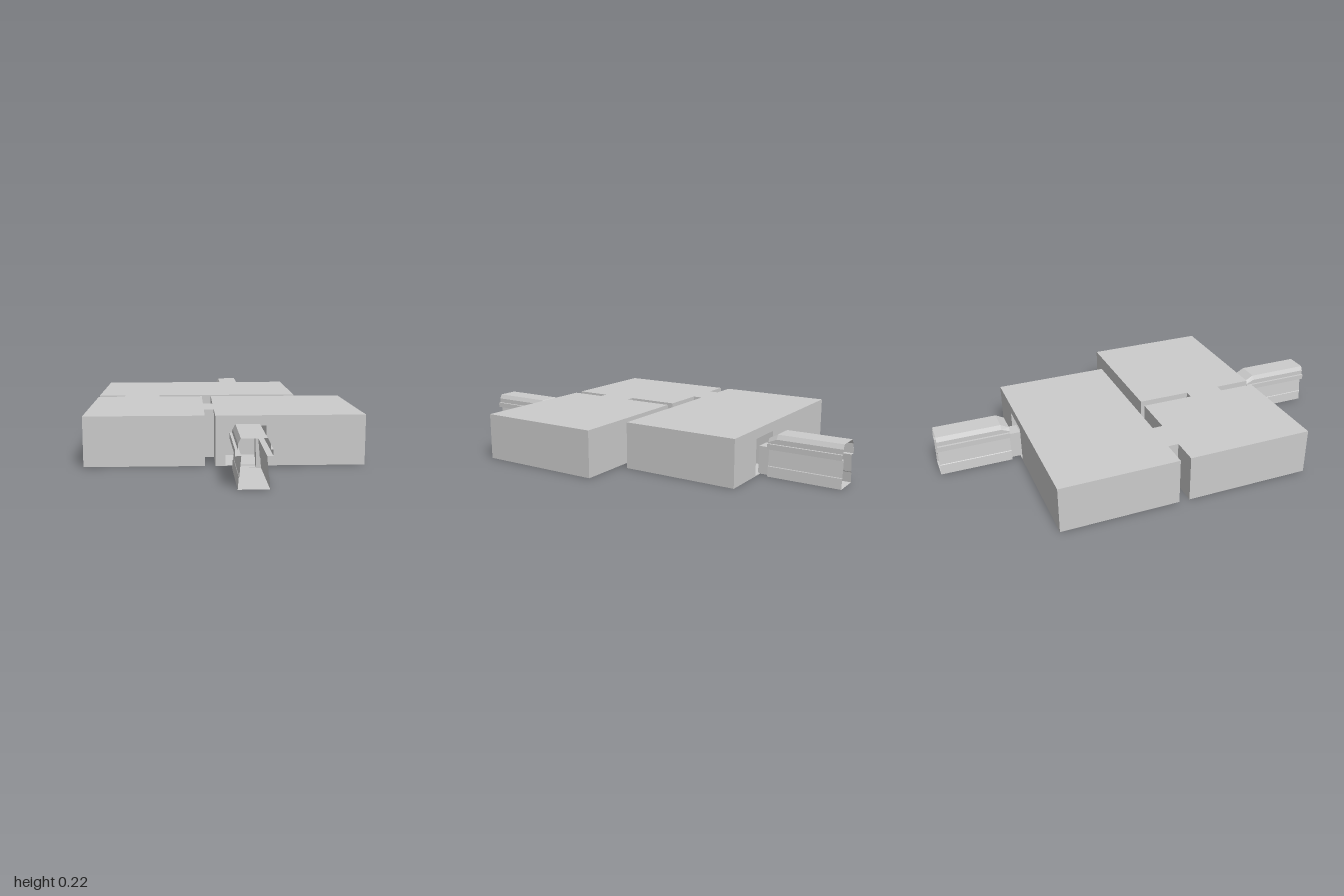
import * as THREE from 'three';

const material = new THREE.MeshStandardMaterial({ color: 0xcccccc, flatShading: true });
const shellMaterial = new THREE.MeshStandardMaterial({ color: 0xcccccc, flatShading: true, side: THREE.DoubleSide });
const DOOR_X = 0.0865;
const DOOR = [0, 0.175];

const toShape = (points) => new THREE.Shape(points.map(([x, y]) => new THREE.Vector2(x, y)));

// Raise a plan outline of [x, z] points from y0 to y1
function slab(name, outline, y0, y1) {
  const geometry = new THREE.ExtrudeGeometry(toShape(outline), { depth: y1 - y0, bevelEnabled: false });
  geometry.rotateX(Math.PI / 2).translate(0, y1, 0);
  const mesh = new THREE.Mesh(geometry, material);
  mesh.name = name;
  return mesh;
}

// Plan of three joined rooms; depth sets how far the doorways cut in
function plan(depth) {
  const notch = (z, inward, a, b) => depth
    ? [[a, z], [a, z + inward * depth], [b, z + inward * depth], [b, z]] : [];
  return [
    [-0.61, -0.61], ...notch(-0.61, 1, DOOR[0], DOOR[1]), [0.385, -0.61],
    [0.385, -0.05], [-0.305, -0.05], [-0.305, 0],
    [-0.09, 0], [-0.09, 0.255], [-0.045, 0.255], [-0.045, 0],
    [0.605, 0], [0.605, 0.605], ...notch(0.605, -1, DOOR[1], DOOR[0]),
    [-0.045, 0.605], [-0.045, 0.43], [-0.09, 0.43], [-0.09, 0.605],
    [-0.61, 0.605], [-0.61, 0], [-0.48, 0], [-0.48, -0.05], [-0.61, -0.05],
  ];
}

// Thin open shell through matching closed cross-sections [{ z, points }]
function shell(name, sections) {
  const n = sections[0].points.length;
  const positions = [];
  const index = [];
  for (const { z, points } of sections) for (const [x, y] of points) positions.push(x, y, z);
  for (let s = 0; s < sections.length - 1; s++) {
    for (let i = 0; i < n; i++) {
      const a = s * n + i, b = s * n + (i + 1) % n;
      index.push(a, b, a + n, b, b + n, a + n);
    }
  }
  const geometry = new THREE.BufferGeometry();
  geometry.setAttribute('position', new THREE.Float32BufferAttribute(positions, 3));
  geometry.setIndex(index);
  geometry.computeVertexNormals();
  const mesh = new THREE.Mesh(geometry, shellMaterial);
  mesh.name = name;
  return mesh;
}

// Tunnel section: leaning walls, side rails and a chamfered roof
function tunnelSection(shoulder, roof) {
  const half = [
    [0.062, 0], [0.058, 0.047], [0.056, 0.05], [0.049, 0.13],
    [0.073, 0.13], [0.073, 0.155], [0.062, 0.155], [0.062, shoulder], [0.051, roof],
  ];
  return [...half, ...half.map(([x, y]) => [-x, y]).reverse()];
}

// Narrow neck leading to a hollow tunnel that is open at its far end
function createTunnel(name, start, end) {
  const tunnel = new THREE.Group();
  tunnel.name = name;
  const low = tunnelSection(0.16, 0.177);
  const high = tunnelSection(0.177, 0.198);
  const neck = [[0.041, 0.001], [0.037, 0.13], [-0.037, 0.13], [-0.041, 0.001]];

  tunnel.add(shell('tunnelShell', [
    { z: end, points: low },
    { z: end + 0.04, points: high },
    { z: 1, points: high },
  ]));
  tunnel.add(shell('tunnelNeck', [{ z: start - 0.01, points: neck }, { z: end, points: neck }]));

  const wallShape = toShape(low);
  wallShape.holes.push(new THREE.Path(neck.map(([x, y]) => new THREE.Vector2(x, y))));
  const endWall = new THREE.Mesh(new THREE.ShapeGeometry(wallShape), shellMaterial);
  endWall.name = 'tunnelEndWall';
  endWall.position.z = end;
  tunnel.add(endWall);

  tunnel.position.x = DOOR_X;
  return tunnel;
}

export function createModel() {
  const model = new THREE.Group();
  model.name = 'roomComplex';

  // Rooms with a recessed doorway at each end
  const rooms = new THREE.Group();
  rooms.name = 'rooms';
  rooms.add(
    slab('roomFloor', plan(0), 0, 0.004),
    slab('roomWalls', plan(0.2), 0.004, 0.175),
    slab('roomRoof', plan(0), 0.175, 0.22),
  );
  model.add(rooms);

  // Tunnels leading out of the front and back doorways
  const frontTunnel = createTunnel('frontTunnel', 0.605, 0.65);
  const backTunnel = createTunnel('backTunnel', 0.61, 0.655);
  backTunnel.rotation.y = Math.PI;
  model.add(frontTunnel, backTunnel);

  return model;
}
